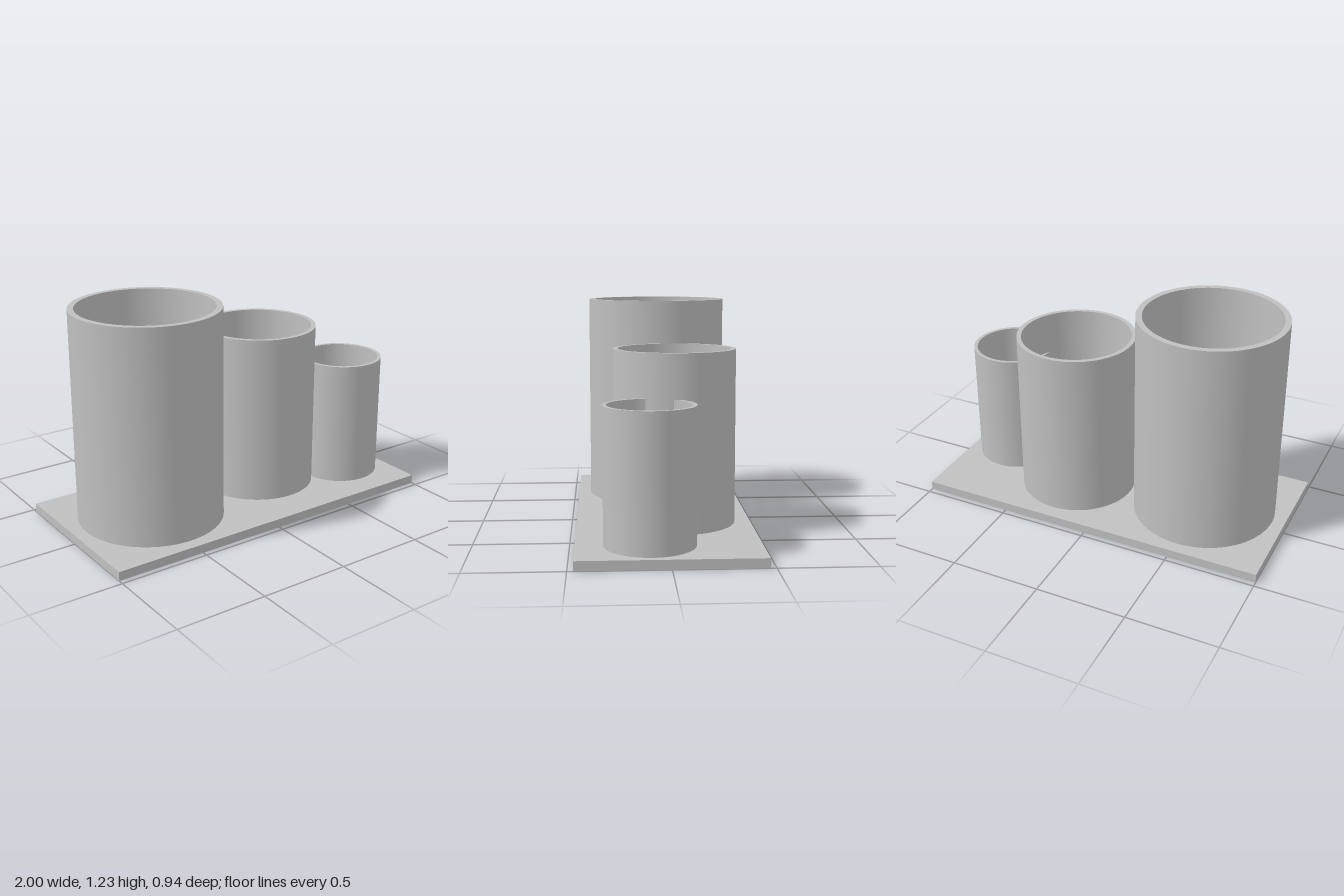
import * as THREE from 'three';
import { toCreasedNormals } from 'three/addons/utils/BufferGeometryUtils.js';

const BASE_HEIGHT = 0.05;

// Open-topped tube: up the outer wall, across the rim, down the inner wall
function tubeGeometry(outer, inner, top) {
  const profile = [
    new THREE.Vector2(outer, BASE_HEIGHT),
    new THREE.Vector2(outer, top),
    new THREE.Vector2(inner, top),
    new THREE.Vector2(inner, BASE_HEIGHT),
  ];
  return toCreasedNormals(new THREE.LatheGeometry(profile, 72), 0.6);
}

export function createModel() {
  const group = new THREE.Group();
  group.name = 'penHolder';

  const grey = new THREE.MeshStandardMaterial({ color: 0xc0c0c0 });
  grey.name = 'grey';

  // Base plate, also the floor of every tube
  const base = new THREE.Mesh(new THREE.BoxGeometry(2, BASE_HEIGHT, 0.94), grey);
  base.name = 'basePlate';
  base.position.y = BASE_HEIGHT / 2;
  group.add(base);

  // Three tubes of falling size; the small one cuts into the medium one
  const tubes = [
    { name: 'largeTube', x: -0.53, z: 0, outer: 0.4, inner: 0.367, top: 1.226 },
    { name: 'mediumTube', x: 0.234, z: -0.06, outer: 0.328, inner: 0.303, top: 0.99 },
    { name: 'smallTube', x: 0.73, z: 0.094, outer: 0.234, inner: 0.214, top: 0.755 },
  ];
  for (const { name, x, z, outer, inner, top } of tubes) {
    const tube = new THREE.Mesh(tubeGeometry(outer, inner, top), grey);
    tube.name = name;
    tube.position.set(x, 0, z);
    group.add(tube);
  }

  return group;
}
